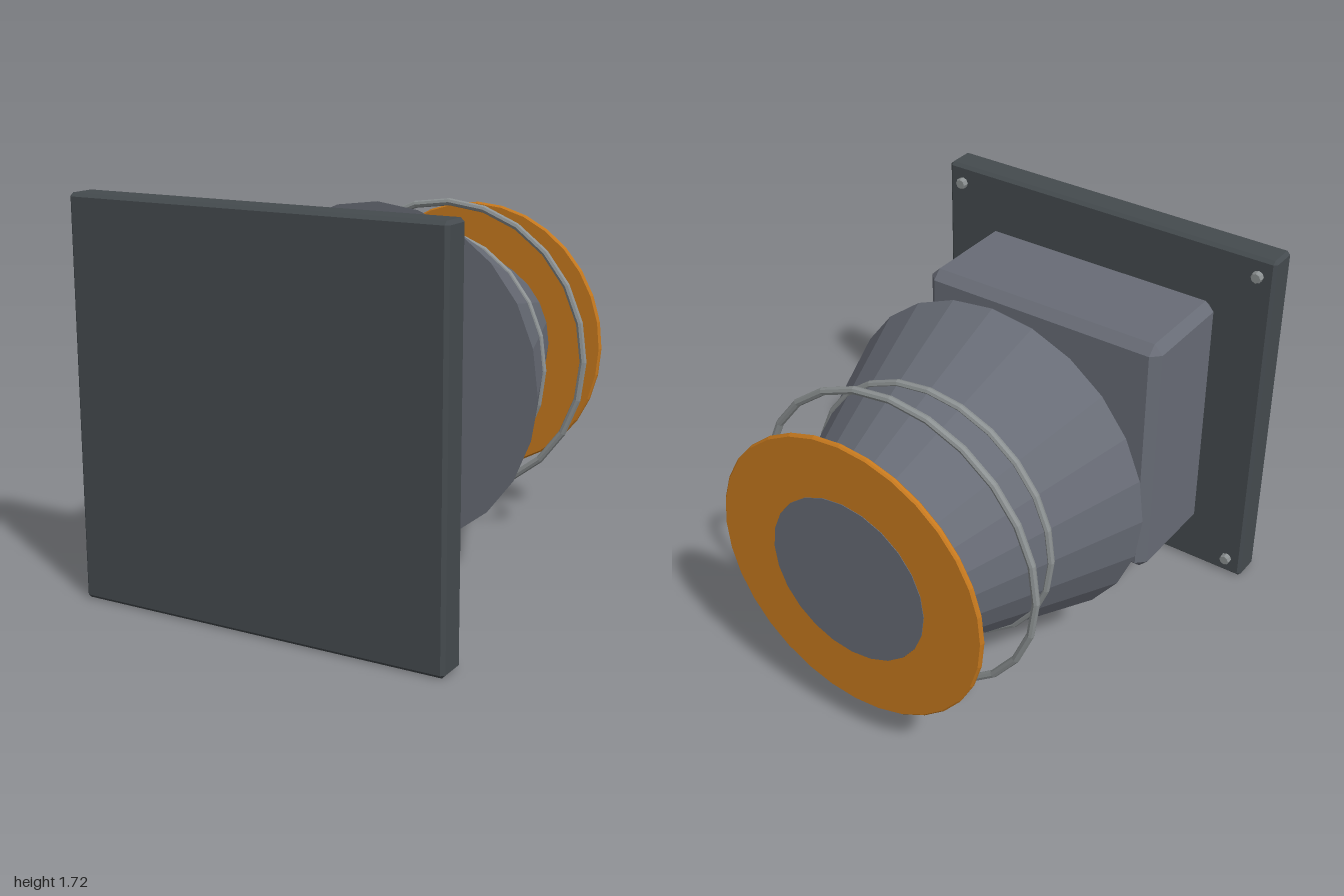
import * as THREE from 'three';
import { ConvexGeometry } from 'three/addons/geometries/ConvexGeometry.js';

const CY = 0.858; // height of the central axis
const SIDES = 24;

// Box with all edges chamfered by c
function chamferBox(w, h, d, c) {
  const pts = [];
  for (const sx of [-1, 1]) for (const sy of [-1, 1]) for (const sz of [-1, 1]) {
    const x = w / 2, y = h / 2, z = d / 2;
    pts.push(
      new THREE.Vector3(sx * x, sy * (y - c), sz * (z - c)),
      new THREE.Vector3(sx * (x - c), sy * y, sz * (z - c)),
      new THREE.Vector3(sx * (x - c), sy * (y - c), sz * z));
  }
  return new ConvexGeometry(pts);
}

// Solid of revolution along the z axis; profile rows are [radius, z], front to back
function turned(profile, sides = SIDES) {
  const pts = profile.map(([r, z]) => new THREE.Vector2(r, -z));
  return new THREE.LatheGeometry(pts, sides).rotateX(-Math.PI / 2);
}

// Disc or drum with small chamfers on both rims
function drum(r, front, back, c, sides) {
  return turned([[0, front], [r - c, front], [r, front - c], [r, back + c], [r - c, back], [0, back]], sides);
}

export function createModel() {
  const mat = (name, color) => {
    const m = new THREE.MeshStandardMaterial({ color, flatShading: true });
    m.name = name;
    return m;
  };
  const dark = mat('dark steel', 0x454b4f);
  const grey = mat('grey metal', 0x686c76);
  const light = mat('light metal', 0x8c9192);
  const orange = mat('orange', 0xc87a1e);

  const model = new THREE.Group();
  model.name = 'hornUnit';
  const add = (name, geometry, material, x = 0, y = CY, z = 0) => {
    const mesh = new THREE.Mesh(geometry, material);
    mesh.name = name;
    mesh.position.set(x, y, z);
    model.add(mesh);
  };

  // Mounting plate, housing and neck
  add('mountingPlate', chamferBox(1.7, 1.716, 0.14, 0.015), dark, 0, CY, 0.93);
  add('housing', chamferBox(1.2, 1.196, 0.52, 0.042), grey, 0, CY + 0.002, 0.6);
  add('neck', drum(0.345, 0.345, 0, 0.01), dark);

  // Tapered horn, closed at both ends
  add('horn', turned([[0, 0], [0.766, 0], [0.381, -1], [0, -1]]), grey);

  // Rim disc around the narrow end
  add('rimDisc', drum(0.655, -0.972, -0.998, 0.007, 32), orange);

  // Two hoops around the horn
  for (const [name, r, z] of [['innerHoop', 0.597, -0.437], ['outerHoop', 0.689, -0.68]])
    add(name, new THREE.TorusGeometry(r, 0.017, 8, SIDES), light, 0, CY, z);

  // Bolts on the back of the plate corners
  for (const sx of [-1, 1]) for (const sy of [-1, 1])
    add('bolt', drum(0.026, 0.87, 0.833, 0.004, 8), light, sx * 0.772, CY + sy * 0.772);

  return model;
}
